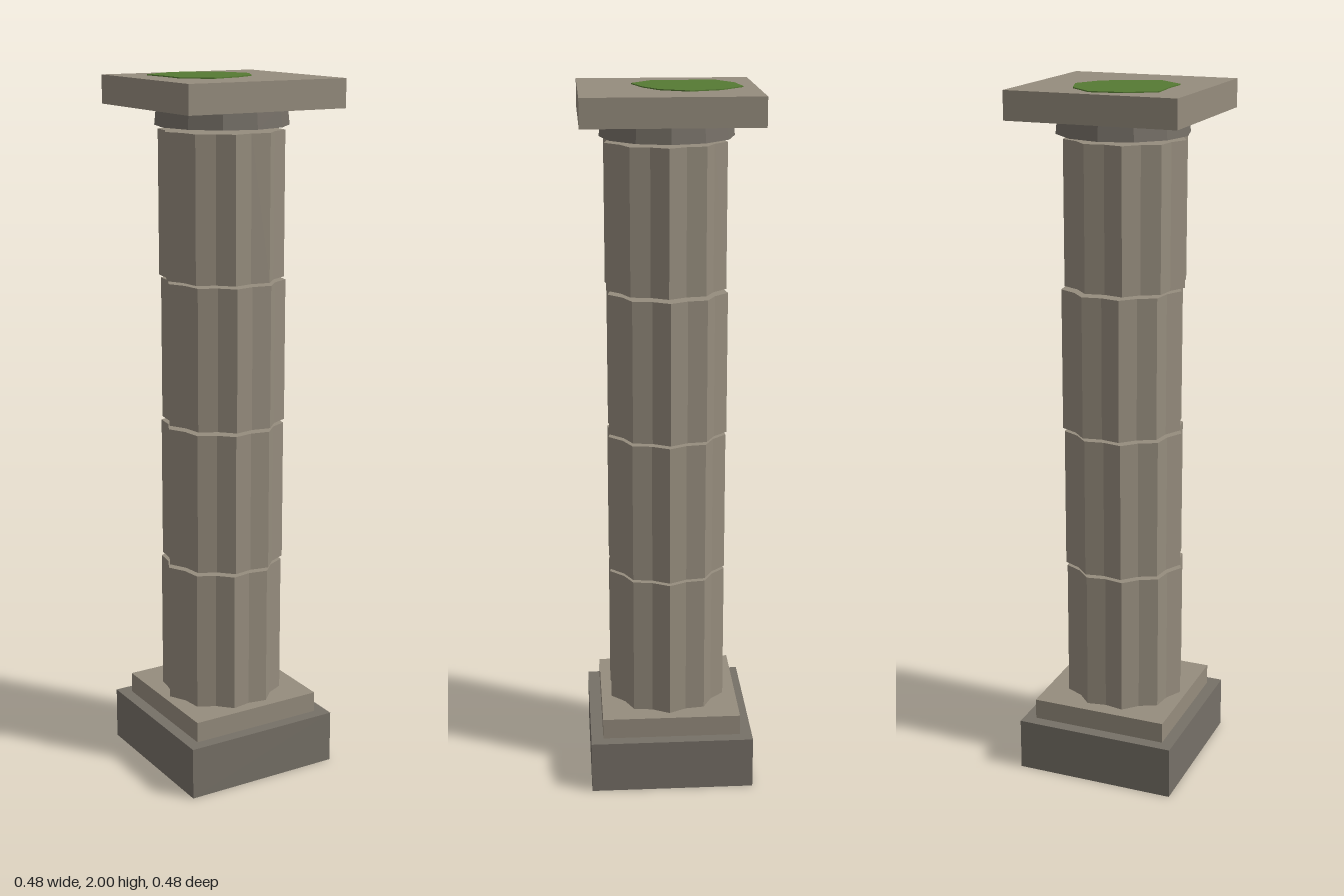
import * as THREE from 'three';

export function createModel() {
  const model = new THREE.Group();
  const material = (color) => new THREE.MeshStandardMaterial({ color, flatShading: true });
  const stone = material(0x958c7d);
  const darkStone = material(0x767067);
  const moss = material(0x567a33);

  const add = (name, geometry, mat, x, y, z) => {
    const mesh = new THREE.Mesh(geometry, mat);
    mesh.name = name;
    mesh.position.set(x, y, z);
    model.add(mesh);
    return mesh;
  };
  const slab = (name, width, y0, y1, mat) =>
    add(name, new THREE.BoxGeometry(width, y1 - y0, width), mat, 0, (y0 + y1) / 2, 0);

  // Square base and top slab
  slab('plinth', 0.47, 0, 0.152, darkStone);
  slab('baseStep', 0.4, 0.152, 0.212, stone);
  slab('topSlab', 0.484, 1.918, 1.997, stone);

  // Fluted drum: ten ridges with a shallow groove between each pair
  function drumGeometry(height) {
    const shape = new THREE.Shape();
    for (let i = 0; i < 20; i++) {
      const angle = (i * Math.PI) / 10;
      const radius = i % 2 === 0 ? 0.175 : 0.157;
      const x = radius * Math.cos(angle), y = radius * Math.sin(angle);
      if (i === 0) shape.moveTo(x, y);
      else shape.lineTo(x, y);
    }
    shape.closePath();
    const geometry = new THREE.ExtrudeGeometry(shape, { depth: height, bevelEnabled: false });
    return geometry.rotateX(-Math.PI / 2);
  }

  // Four stacked drums, slightly out of line, with open joints
  const offsets = [[-0.005, 0.004], [-0.001, 0.004], [0.003, 0.002], [-0.005, 0.006]];
  offsets.forEach(([x, z], i) => {
    add('drum' + (i + 1), drumGeometry(0.404), stone, x, 0.212 + i * 0.4135, z);
  });

  // Round collar under the top slab
  add('collar', new THREE.CylinderGeometry(0.18, 0.185, 0.05, 12), darkStone, 0, 1.893, 0.001);

  // Thin irregular moss patch on the top slab
  const outline = [
    [-0.155, -0.14], [-0.075, -0.19], [0.017, -0.203], [0.088, -0.138], [0.118, -0.052],
    [0.078, 0.028], [0.01, 0.068], [-0.078, 0.094], [-0.15, 0.035], [-0.148, -0.045],
  ].map(([x, z]) => new THREE.Vector2(x, -z));
  const patch = new THREE.ExtrudeGeometry(new THREE.Shape(outline), { depth: 0.003, bevelEnabled: false });
  add('mossPatch', patch.rotateX(-Math.PI / 2), moss, 0, 1.997, 0);

  return model;
}
